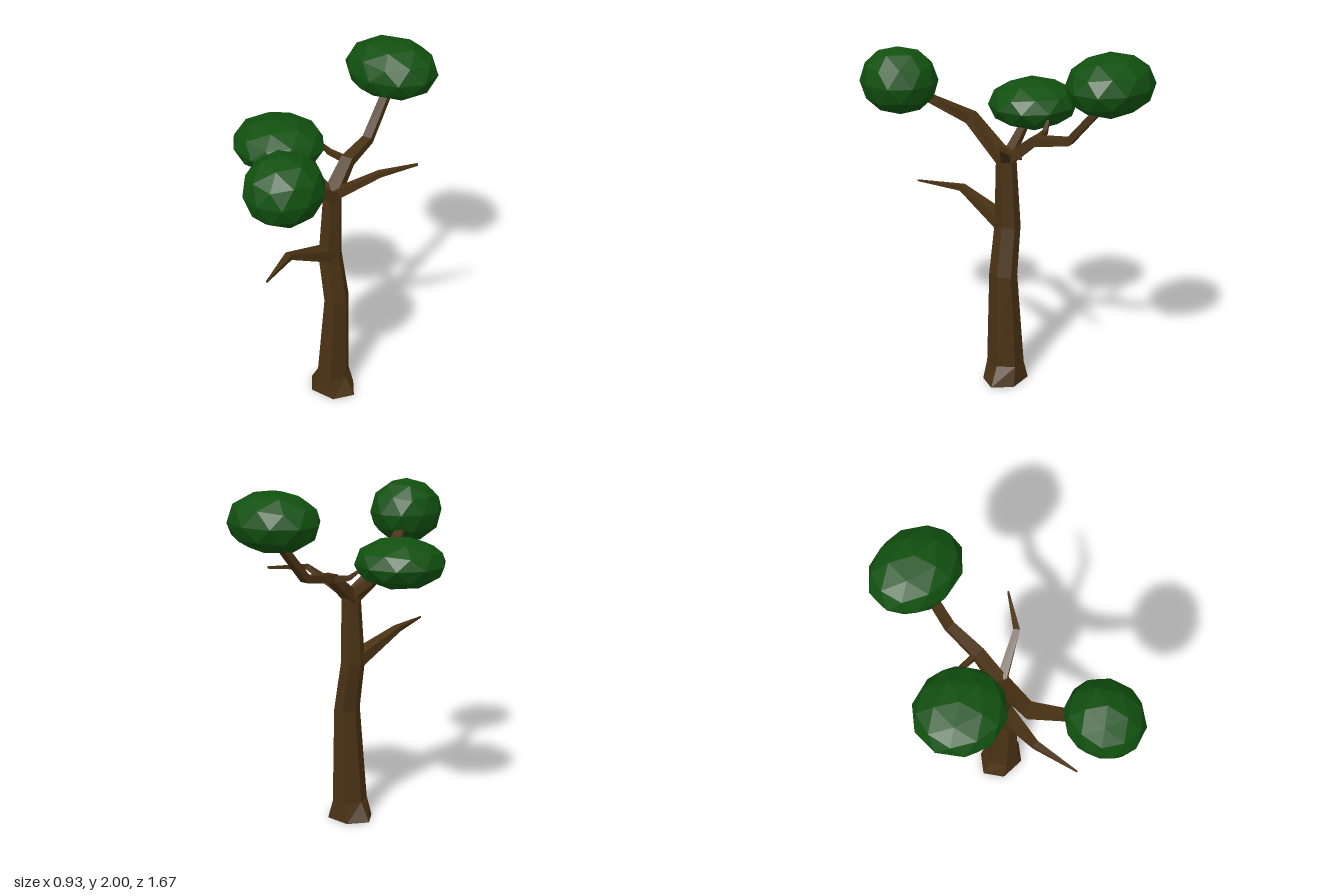
import * as THREE from 'three';

const bark = new THREE.MeshStandardMaterial({ color: 0x4a3214, flatShading: true });
const leaf = new THREE.MeshStandardMaterial({ color: 0x11500f, flatShading: true });

// Closed skin over a list of rings (arrays of Vector3, counter-clockwise about the growing direction)
function loft(name, rings) {
  const n = rings[0].length, index = [];
  const verts = rings.flat();
  for (let r = 0; r < rings.length - 1; r++) {
    for (let i = 0; i < n; i++) {
      const a = r * n + i, b = r * n + (i + 1) % n;
      index.push(a, b, b + n, a, b + n, a + n);
    }
  }
  const top = (rings.length - 1) * n;
  for (let i = 1; i < n - 1; i++) index.push(0, i + 1, i, top, top + i, top + i + 1);
  const geo = new THREE.BufferGeometry().setFromPoints(verts);
  geo.setIndex(index);
  const flat = geo.toNonIndexed();
  flat.computeVertexNormals();
  const mesh = new THREE.Mesh(flat, bark);
  mesh.name = name;
  return mesh;
}

// Six-sided trunk from levels [centreX, y, radiusX, halfDepthZ]
function trunk(levels) {
  return loft('trunk', levels.map(([cx, y, rx, hz]) =>
    Array.from({ length: 6 }, (_, i) => {
      const a = -i * Math.PI / 3;
      return new THREE.Vector3(cx + rx * Math.cos(a), y, hz * Math.sin(a) / Math.sin(Math.PI / 3));
    })));
}

// Four-sided branch through stations [x, y, z, halfWidth, halfHeight]
function branch(name, stations) {
  const pts = stations.map(([x, y, z]) => new THREE.Vector3(x, y, z));
  const up = new THREE.Vector3(0, 1, 0);
  return loft(name, stations.map(([, , , w, h], k) => {
    const before = pts[k].clone().sub(pts[Math.max(k - 1, 0)]).normalize();
    const after = pts[Math.min(k + 1, pts.length - 1)].clone().sub(pts[k]).normalize();
    const dir = before.add(after).normalize();
    const side = new THREE.Vector3().crossVectors(up, dir).normalize();
    const rise = new THREE.Vector3().crossVectors(dir, side);
    return [[-1, -1], [1, -1], [1, 1], [-1, 1]].map(([s, t]) =>
      pts[k].clone().addScaledVector(side, s * w).addScaledVector(rise, t * h));
  }));
}

// Faceted leaf clump, one corner of the icosahedron pointing up
function clump(name, [x, y, z], [rx, ry, rz]) {
  const geo = new THREE.IcosahedronGeometry(1, 1);
  geo.rotateZ(-Math.atan(2 / (1 + Math.sqrt(5))));
  geo.scale(rx, ry, rz);
  geo.computeVertexNormals();
  const mesh = new THREE.Mesh(geo, leaf);
  mesh.name = name;
  mesh.position.set(x, y, z);
  return mesh;
}

export function createModel() {
  const tree = new THREE.Group();
  tree.name = 'tree';
  tree.add(
    trunk([
      [0.13, 0, 0.152, 0.104],
      [0.13, 0.11, 0.092, 0.095],
      [0.15, 0.66, 0.066, 0.072],
      [0.103, 0.94, 0.063, 0.066],
      [0.115, 1.34, 0.051, 0.05],
    ]),
    // Limbs that carry leaves
    branch('frontLimb', [
      [0.115, 1.31, -0.01, 0.045, 0.03],
      [0.058, 1.51, 0.265, 0.04, 0.028],
      [0.16, 1.61, 0.45, 0.028, 0.02],
      [0.22, 1.67, 0.56, 0.02, 0.018],
    ]),
    branch('backLimb', [
      [0.11, 1.31, 0.01, 0.042, 0.032],
      [0.1, 1.46, -0.17, 0.034, 0.026],
      [0.09, 1.49, -0.38, 0.028, 0.02],
      [0.09, 1.72, -0.58, 0.024, 0.018],
    ]),
    branch('rightLimb', [
      [0.115, 1.32, 0, 0.03, 0.026],
      [-0.06, 1.445, 0.01, 0.022, 0.018],
      [-0.17, 1.52, 0.02, 0.018, 0.015],
    ]),
    // Bare twigs
    branch('leftTwig', [
      [0.11, 1.32, 0, 0.028, 0.026],
      [0.34, 1.48, -0.12, 0.018, 0.014],
      [0.46, 1.488, -0.31, 0.005, 0.006],
    ]),
    branch('backTwig', [
      [0.11, 1.455, -0.17, 0.016, 0.018],
      [-0.02, 1.475, -0.165, 0.014, 0.013],
      [-0.08, 1.52, -0.15, 0.008, 0.008],
    ]),
    branch('lowerTwig', [
      [0.105, 0.955, 0.03, 0.05, 0.035],
      [0.06, 1.085, 0.33, 0.022, 0.015],
      [0.115, 1.093, 0.6, 0.004, 0.004],
    ]),
    clump('frontLeaves', [0.247, 1.717, 0.612], [0.207, 0.19, 0.222]),
    clump('backLeaves', [0.083, 1.835, -0.616], [0.276, 0.165, 0.224]),
    clump('rightLeaves', [-0.22, 1.56, 0.033], [0.262, 0.14, 0.248]),
  );
  return tree;
}
